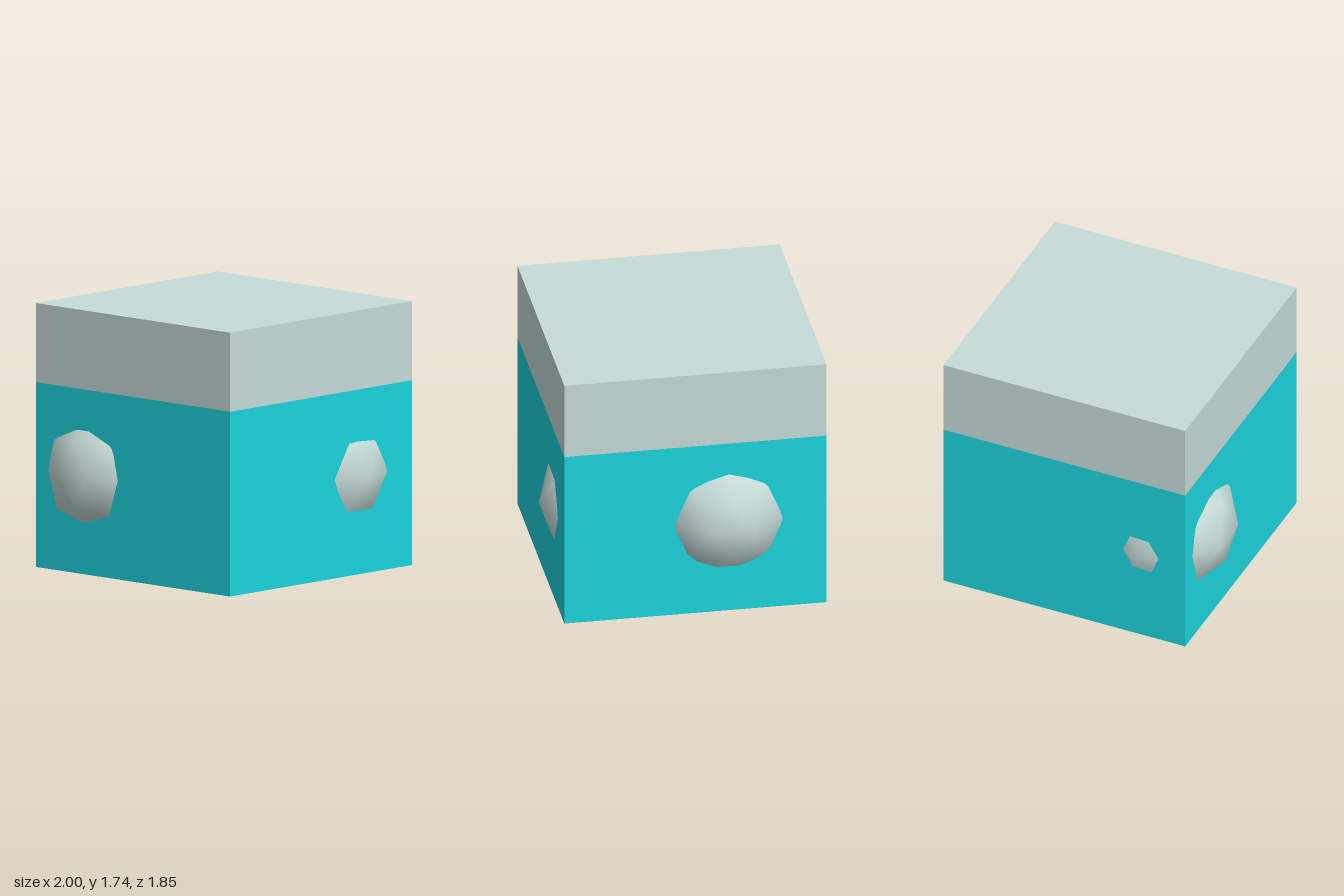
import * as THREE from 'three';

export function createModel() {
  const model = new THREE.Group();
  const pale = new THREE.MeshStandardMaterial({ color: 0xc6dcd9 });
  const cyan = new THREE.MeshStandardMaterial({ color: 0x1cd5de });

  const add = (name, geometry, material, x, y, z) => {
    const mesh = new THREE.Mesh(geometry, material);
    mesh.name = name;
    mesh.position.set(x, y, z);
    model.add(mesh);
  };

  // Two stacked slabs form the cube
  const width = 1.726, depth = 1.728, split = 1.215, top = 1.735;
  const cx = -0.017, cz = -0.025;
  add('lowerBlock', new THREE.BoxGeometry(width, split, depth), cyan, cx, split / 2, cz);
  add('upperBlock', new THREE.BoxGeometry(width, top - split, depth), pale, cx, (top + split) / 2, cz);

  // Low-poly balls bulging through the four sides, one vertex pointing straight up
  const ball = new THREE.IcosahedronGeometry(0.46, 1);
  ball.rotateZ(-Math.atan((Math.sqrt(5) - 1) / 2));
  const balls = {
    leftBall: [0.5625, -0.245],
    rightBall: [-0.5625, -0.47],
    frontBall: [0.36, 0.46],
    backBall: [-0.56, -0.465],
  };
  for (const [name, [x, z]] of Object.entries(balls)) add(name, ball, pale, x, 0.645, z);

  return model;
}
